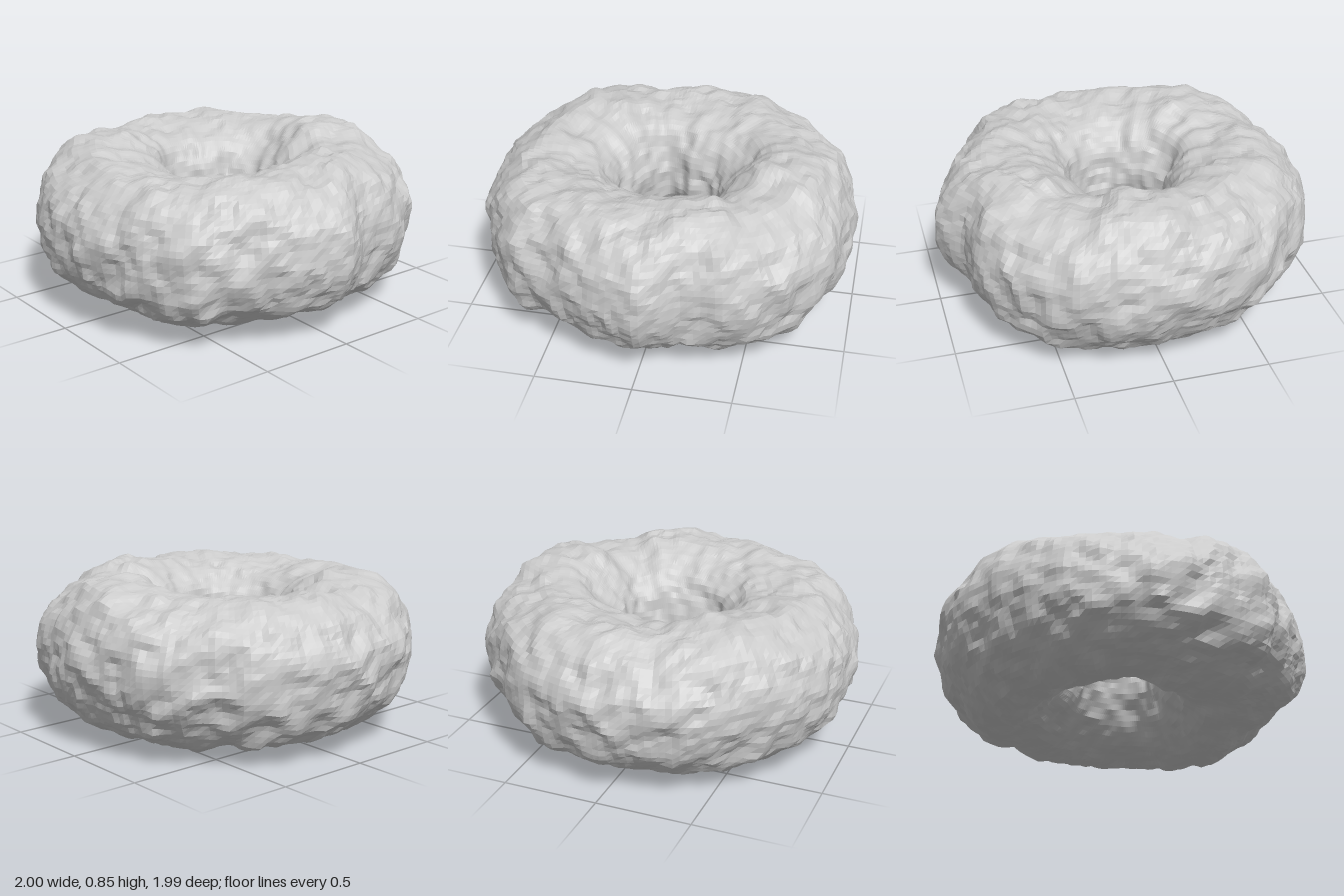
import * as THREE from 'three';

const TAU = Math.PI * 2;

// Ring outline samples, evenly spaced by angle from +x towards +z
const OUTER = [0.995, 0.945, 0.935, 0.99, 0.985, 0.97, 0.975, 0.985, 0.975, 0.975, 0.995, 0.975,
  0.975, 0.985, 1.005, 0.96, 0.995, 0.975, 0.99, 0.98, 0.995, 0.985, 0.97, 0.925];
const INNER = [0.215, 0.225, 0.24, 0.26, 0.26, 0.255, 0.245, 0.24, 0.235, 0.245, 0.255, 0.275,
  0.255, 0.225, 0.235, 0.255, 0.255, 0.26, 0.265, 0.265, 0.255, 0.24, 0.22, 0.21];
const TOP = [0.8, 0.8, 0.8, 0.8, 0.79, 0.79, 0.79, 0.79, 0.8, 0.84, 0.82, 0.79,
  0.79, 0.8, 0.8, 0.79, 0.79, 0.8, 0.84, 0.86, 0.78, 0.78, 0.83, 0.82];
const BOTTOM = [0.07, 0.07, 0.06, 0.05, 0.05, 0.08, 0.08, 0.06, 0.05, 0.04, 0.03, 0.05,
  0.06, 0.06, 0.06, 0.06, 0.06, 0.06, 0.06, 0.05, 0.02, 0.01, 0.03, 0.06];

// Smooth periodic lookup
function sample(table, angle) {
  const n = table.length;
  const t = (angle / TAU) * n;
  const i = Math.floor(t);
  const f = t - i;
  const s = f * f * (3 - 2 * f);
  return table[i % n] * (1 - s) + table[(i + 1) % n] * s;
}

// Repeatable lattice value and interpolated 3D noise, in -1..1
function lattice(x, y, z) {
  const h = Math.sin(x * 127.1 + y * 311.7 + z * 74.7) * 43758.5453;
  return 2 * (h - Math.floor(h)) - 1;
}
function noise(x, y, z) {
  const [i, j, k] = [x, y, z].map(Math.floor);
  const [a, b, c] = [x - i, y - j, z - k].map((f) => f * f * (3 - 2 * f));
  let sum = 0;
  for (let n = 0; n < 8; n++) {
    const dx = n & 1, dy = (n >> 1) & 1, dz = n >> 2;
    sum += (dx ? a : 1 - a) * (dy ? b : 1 - b) * (dz ? c : 1 - c) * lattice(i + dx, j + dy, k + dz);
  }
  return sum;
}
// Lumps, ridges and fine grain; each layer is turned so that no grid shows
function rockNoise(point) {
  const p = point.clone();
  const axis = new THREE.Vector3(1, 2, 3).normalize();
  let sum = 0;
  for (const [frequency, amplitude] of [[5.5, 0.016], [10, 0.022], [19, 0.013]]) {
    p.applyAxisAngle(axis, 0.8);
    sum += amplitude * noise(p.x * frequency + 7.3, p.y * frequency + 3.1, p.z * frequency + 5.7);
  }
  return sum;
}

// Stone ring: a torus reshaped by the outline samples and roughened along its normal
function rockyRing() {
  const geometry = new THREE.TorusGeometry(0.6, 0.37, 76, 180);
  const { position, uv } = geometry.attributes;
  const p = new THREE.Vector3();
  const out = new THREE.Vector3();
  const middle = 0.607;
  for (let i = 0; i < position.count; i++) {
    const u = uv.getX(i) * TAU;
    const v = uv.getY(i) * TAU;
    const c = Math.cos(v), s = -Math.sin(v);
    const top = sample(TOP, u), bottom = sample(BOTTOM, u);
    const reach = c > 0 ? sample(OUTER, u) - middle : middle - sample(INNER, u);
    // the upper outside is a little fuller than the rest of the section
    const full = 1 + 0.07 * Math.max(0, c) * Math.max(0, s);
    const radius = middle + c * full * reach;
    // bulge above and below a level waist
    const waist = 0.43;
    const height = waist + s * full * (s > 0 ? top - waist : waist - bottom);
    p.set(radius * Math.cos(u), height, radius * Math.sin(u));
    out.set(c * Math.cos(u), s, c * Math.sin(u));
    p.addScaledVector(out, rockNoise(p));
    position.setXYZ(i, p.x, Math.max(0, p.y), p.z);
  }
  geometry.computeVertexNormals();
  return geometry;
}

export function createModel() {
  const group = new THREE.Group();
  const ring = new THREE.Mesh(
    rockyRing(),
    new THREE.MeshStandardMaterial({ color: 0xcccccc, flatShading: true })
  );
  ring.name = 'rockyRing';
  group.add(ring);
  return group;
}
